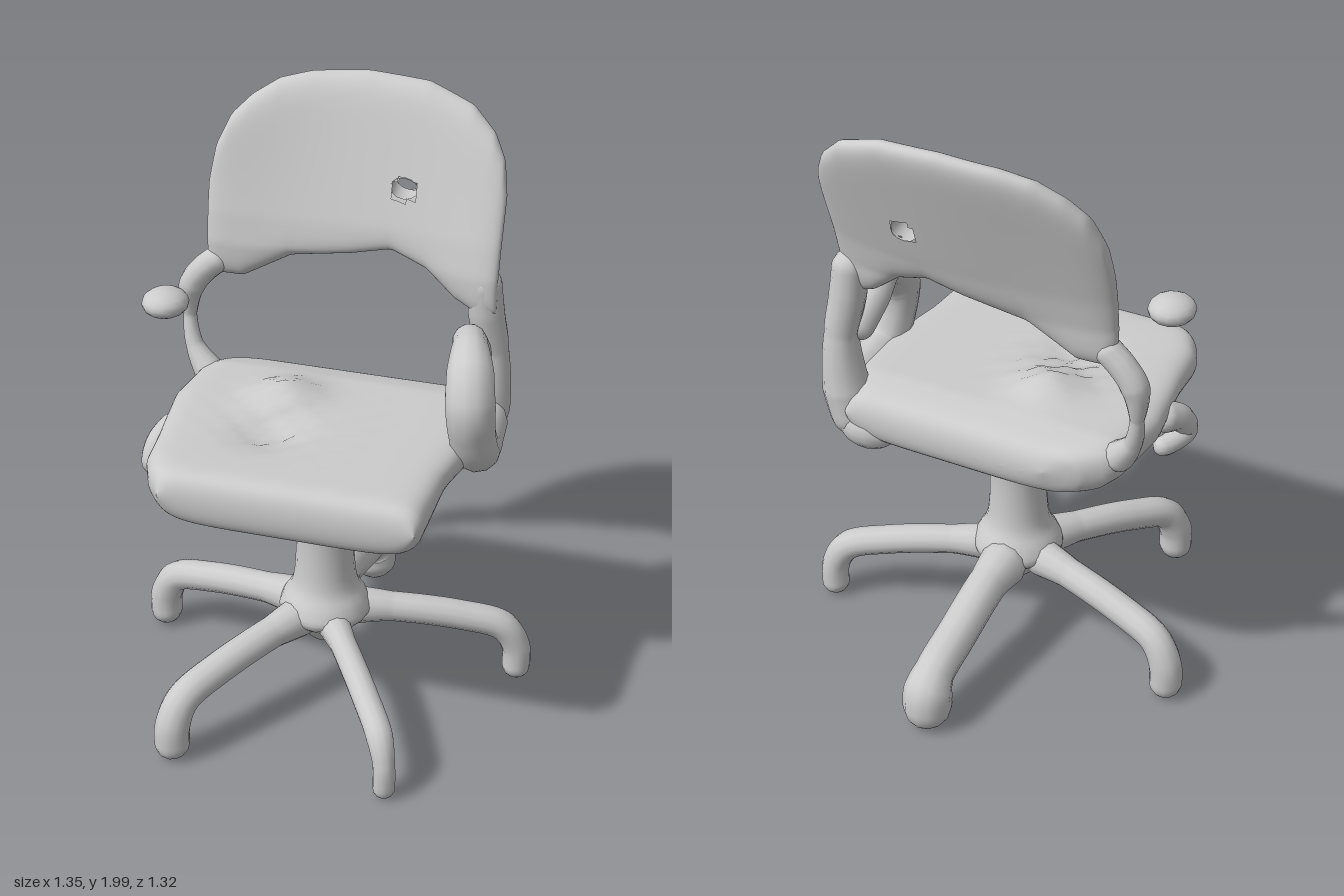
import * as THREE from 'three';
import { mergeVertices } from 'three/addons/utils/BufferGeometryUtils.js';

const material = new THREE.MeshStandardMaterial({ color: 0xcccccc, side: THREE.DoubleSide });
const { lerp } = THREE.MathUtils;

// Linear lookup in a table of [key, value] pairs
function lookup(table, k) {
  if (k <= table[0][0]) return table[0][1];
  for (let i = 1; i < table.length; i++) {
    const [k0, v0] = table[i - 1], [k1, v1] = table[i];
    if (k <= k1) return v0 + ((v1 - v0) * (k - k0)) / (k1 - k0);
  }
  return table[table.length - 1][1];
}

function add(parent, name, geometry) {
  geometry.deleteAttribute('uv');
  geometry.deleteAttribute('normal');
  const g = mergeVertices(geometry, 1e-4);
  g.computeVertexNormals();
  const mesh = new THREE.Mesh(g, material);
  mesh.name = name;
  parent.add(mesh);
}

function blob(parent, name, at, size) {
  const g = new THREE.SphereGeometry(1, 14, 10);
  g.scale(...size).translate(...at);
  add(parent, name, g);
}

// Organic limb: tube of varying radius with rounded ends; points are [x, y, z, radius]
function limb(parent, name, points) {
  const sides = 12, n = (points.length - 1) * 14;
  const curve = new THREE.CatmullRomCurve3(points.map(([x, y, z]) => new THREE.Vector3(x, y, z)));
  const g = new THREE.TubeGeometry(curve, n, 1, sides);
  const pos = g.attributes.position, v = new THREE.Vector3();
  const lengths = curve.getLengths(200), total = lengths[200];
  const table = points.map((p, i) => [lengths[Math.round((200 * i) / (points.length - 1))], p[3]]);
  for (let i = 0; i <= n; i++) {
    const c = curve.getPointAt(i / n), along = (i / n) * total;
    const r = lookup(table, along), end = Math.min(along, total - along);
    const cap = end < r ? Math.sqrt(1 - (1 - end / r) ** 2) : 1;
    for (let j = 0; j <= sides; j++) {
      const k = i * (sides + 1) + j;
      v.fromBufferAttribute(pos, k).sub(c).multiplyScalar(r * cap).add(c);
      pos.setXYZ(k, v.x, v.y, v.z);
    }
  }
  add(parent, name, g);
}

// Closed cushion from cross-section loops; fn(s, t, side) gives each point
function cushion(n, m, fn, skip = () => false) {
  const verts = [], index = [], ease = (u) => (1 - Math.cos(Math.PI * u)) / 2;
  for (let i = 0; i <= n; i++)
    for (let j = 0; j < 2 * m; j++)
      verts.push(...fn(ease(i / n), ease(j <= m ? j / m : (2 * m - j) / m), j <= m ? 1 : -1));
  for (let i = 0; i < n; i++)
    for (let j = 0; j < 2 * m; j++) {
      const k = (j + 1) % (2 * m), w = 2 * m;
      const a = i * w + j, b = a + w, c = (i + 1) * w + k, d = i * w + k;
      if (skip((verts[a * 3] + verts[c * 3]) / 2, (verts[a * 3 + 1] + verts[c * 3 + 1]) / 2)) continue;
      index.push(a, b, d, b, c, d);
    }
  const g = new THREE.BufferGeometry();
  g.setAttribute('position', new THREE.Float32BufferAttribute(verts, 3));
  g.setIndex(index);
  return g;
}
const round = (u, p) => Math.sqrt(Math.max(0, 1 - Math.abs(2 * u - 1) ** p));

function addBackrest(chair) {
  const top = [[-0.48, 1.64], [-0.46, 1.76], [-0.42, 1.85], [-0.36, 1.91], [-0.28, 1.96], [-0.18, 1.985], [0, 2],
    [0.2, 1.99], [0.35, 1.94], [0.43, 1.87], [0.47, 1.8], [0.49, 1.7]];
  const bottom = [[-0.48, 1.4], [-0.45, 1.33], [-0.36, 1.33], [-0.2, 1.42], [0, 1.45], [0.13, 1.48],
    [0.25, 1.44], [0.35, 1.36], [0.42, 1.33], [0.49, 1.34]];
  const lean = [[1.3, -0.265], [1.45, -0.275], [1.55, -0.3], [1.7, -0.35], [2, -0.45]];
  const hole = [0.16, 1.68];
  add(chair, 'backrest', cushion(90, 44, (s, t, side) => {
    const x = -0.48 + 0.97 * s;
    const y = lerp(lookup(bottom, x), lookup(top, x), t);
    // The sides wrap forward, the right one mostly near its top
    const v = (y - 1.35) / 0.6, wrap = x < 0 ? lerp(0.015, 0.085, v) : lerp(0.065, 0.045, v);
    const z = lookup(lean, y) + wrap * (x / 0.48) ** 2;
    return [x, y, z + side * 0.044 * round(s, 10) * round(t, 8)];
  }, (x, y) => ((x - hole[0]) / 0.046) ** 2 + ((y - hole[1]) / 0.036) ** 2 < 1));
  // Wall of the small hole
  const wall = new THREE.CylinderGeometry(0.046, 0.046, 0.08, 12, 1, true);
  wall.scale(1, 1, 0.78).rotateX(Math.PI / 2).translate(hole[0], hole[1], -0.338);
  add(chair, 'backrestHoleWall', wall);
}

function addSeat(chair) {
  const right = [[-0.34, -0.28], [-0.31, -0.39], [-0.26, -0.47], [-0.2, -0.5], [0, -0.52], [0.25, -0.48],
    [0.4, -0.465], [0.48, -0.43], [0.54, -0.38]];
  const left = [[-0.34, 0.42], [-0.25, 0.48], [0, 0.49], [0.25, 0.45], [0.5, 0.445], [0.54, 0.43]];
  const under = [[-0.34, 0.83], [-0.2, 0.85], [0, 0.86], [0.2, 0.88], [0.4, 0.855], [0.54, 0.84]];
  const upper = [[-0.34, 1.0], [-0.2, 1.03], [0.54, 1.035]];
  const bump = (x, z, cx, cz, r) => Math.exp(-((x - cx) ** 2 + (z - cz) ** 2) / (r * r));
  add(chair, 'seat', cushion(50, 44, (s, t, side) => {
    const z = -0.34 + 0.885 * s;
    const x = lerp(lookup(right, z), lookup(left, z), t);
    const lo = lookup(under, z) + 0.04 * (2 * t - 1) ** 6, hi = lookup(upper, z);
    const h = ((hi - lo) / 2) * round(s, 20) * round(t, 16);
    // Worn patch on the upper face
    const worn = 0.05 * bump(x, z, -0.15, -0.04, 0.1) - 0.03 * bump(x, z, -0.13, 0.2, 0.1)
      + 0.012 * Math.sin(50 * x) * Math.sin(60 * z) * bump(x, z, -0.13, 0.1, 0.18);
    return [x, (lo + hi) / 2 + side * h + (side > 0 ? worn * round(t, 8) : 0), z];
  }));
}

export function createModel() {
  const chair = new THREE.Group();
  chair.name = 'officeChair';
  addBackrest(chair);
  addSeat(chair);

  // Left back post, its foot, and the looped armrest
  limb(chair, 'leftBackPost', [[0.42, 0.82, -0.265, 0.07], [0.46, 0.98, -0.262, 0.078],
    [0.47, 1.18, -0.262, 0.055], [0.45, 1.32, -0.245, 0.06], [0.44, 1.47, -0.235, 0.055]]);
  blob(chair, 'leftPostFoot', [0.375, 0.865, -0.275], [0.105, 0.075, 0.07]);
  limb(chair, 'leftArmrest', [[0.47, 0.96, -0.25, 0.07], [0.485, 0.96, -0.08, 0.072], [0.495, 0.98, 0.03, 0.075],
    [0.49, 1.07, 0.085, 0.075], [0.485, 1.17, 0.1, 0.08], [0.47, 1.255, 0.05, 0.075],
    [0.445, 1.295, -0.05, 0.055], [0.425, 1.26, -0.14, 0.055], [0.44, 1.15, -0.24, 0.045]]);

  // Thin right back post, detached arm pad and bracket under the seat
  limb(chair, 'rightBackPost', [[-0.45, 0.95, -0.2, 0.06], [-0.53, 1.06, -0.23, 0.03], [-0.55, 1.16, -0.25, 0.022],
    [-0.54, 1.27, -0.25, 0.045], [-0.5, 1.33, -0.25, 0.045], [-0.42, 1.4, -0.25, 0.045]]);
  blob(chair, 'rightArmPad', [-0.51, 1.365, 0.07], [0.075, 0.045, 0.08]);
  limb(chair, 'rightBracket', [[-0.46, 0.95, 0.08, 0.06], [-0.51, 0.91, 0.17, 0.045],
    [-0.52, 0.85, 0.2, 0.04], [-0.49, 0.825, 0.13, 0.035], [-0.46, 0.825, 0.09, 0.03]]);

  // Column flaring into the hub
  const profile = [[0, 0.17], [0.05, 0.2], [0.1, 0.26], [0.15, 0.31], [0.14, 0.36], [0.105, 0.43], [0.095, 0.58],
    [0.105, 0.7], [0.125, 0.8], [0.12, 0.88]].map(([r, y]) => new THREE.Vector2(r, y));
  const column = new THREE.LatheGeometry(new THREE.SplineCurve(profile).getPoints(36), 20);
  add(chair, 'column', column.translate(0.01, 0, 0.06));
  limb(chair, 'columnBrace', [[-0.02, 0.6, 0.06, 0.07], [-0.07, 0.75, 0.06, 0.08],
    [-0.18, 0.83, 0.06, 0.055], [-0.36, 0.88, 0.06, 0.05]]);

  // Five legs: foot x, foot z, shaft radius, foot radius, elbow height
  const legs = [['backLeg', 0, -0.585, 0.066, 0.08, 0.185], ['rightLeg', -0.62, -0.1, 0.052, 0.055, 0.215],
    ['leftLeg', 0.625, -0.14, 0.05, 0.048, 0.215], ['frontRightLeg', -0.34, 0.6, 0.054, 0.058, 0.215],
    ['frontLeftLeg', 0.365, 0.6, 0.044, 0.036, 0.21]];
  for (const [name, x, z, r, foot, elbow] of legs) {
    const at = (t, y, rad) => [x * t, y, 0.05 + (z - 0.05) * t, rad];
    limb(chair, name, [at(0.08, 0.305, r * 1.4), at(0.35, 0.295, r), at(0.7, elbow + 0.045, r),
      at(0.92, elbow, r), at(0.99, 0.14, foot), at(1, 0.07, foot), at(0.99, 0.01, foot)]);
  }
  return chair;
}
